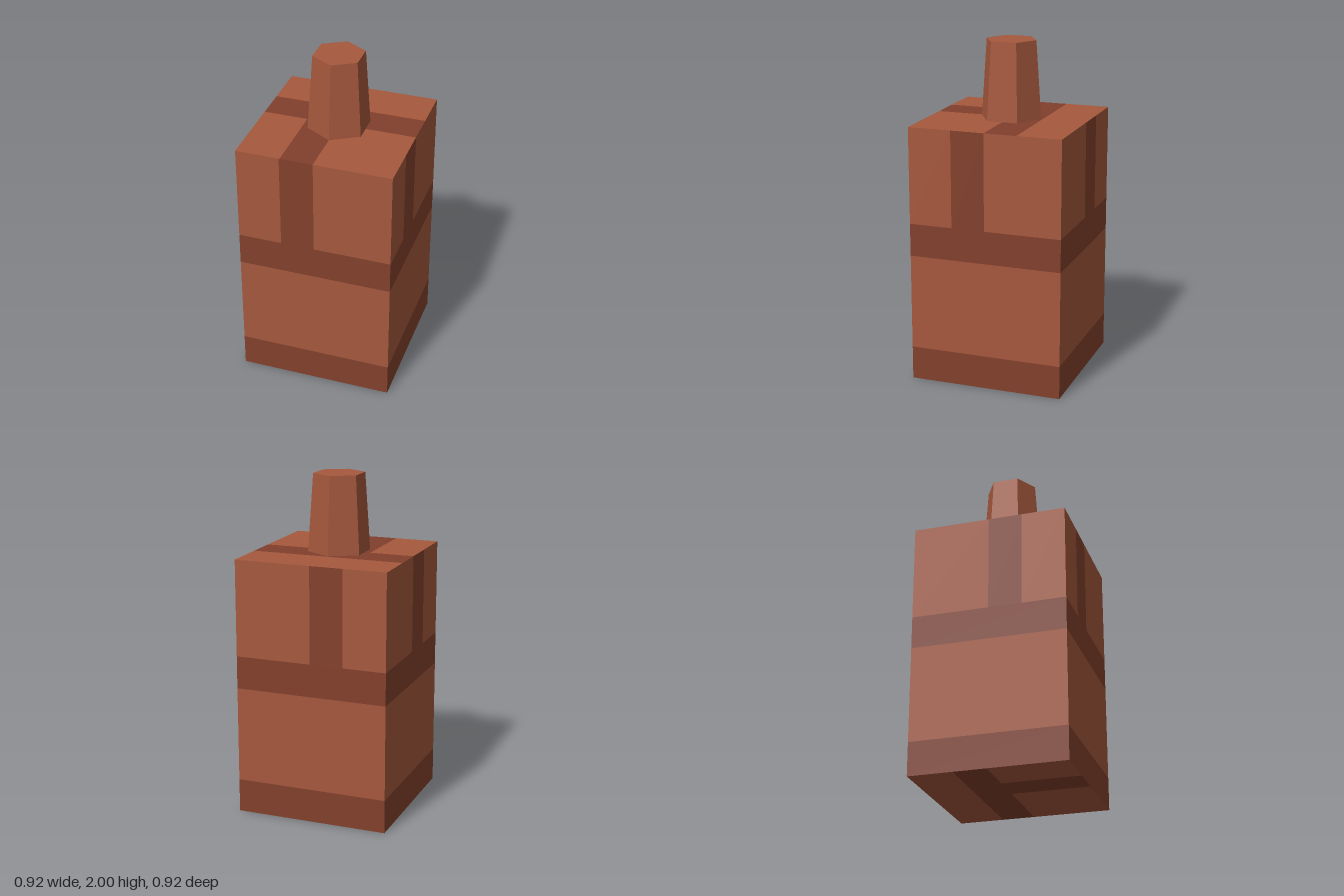
import * as THREE from 'three';
import { mergeGeometries } from 'three/addons/utils/BufferGeometryUtils.js';

const HALF = 0.46;   // half width of the square stack
const TOP = 1.54;    // height of the brick stack
const JOINT = 0.195; // width of the mortar joints

// Face tiles: [u0, u1, v0, v1]
const SIDE = {
  brick: [
    [-HALF, HALF, 0.2, 0.77],
    [-HALF, -0.2, 0.965, TOP],
    [0, HALF, 0.965, TOP],
  ],
  mortar: [
    [-HALF, HALF, 0, 0.2],
    [-HALF, HALF, 0.77, 0.965],
    [-0.2, 0, 0.965, TOP],
  ],
};
const CAP = {
  brick: [
    [-HALF, HALF, JOINT, HALF],
    [-HALF, -JOINT, -HALF, 0],
    [0, HALF, -HALF, 0],
  ],
  mortar: [
    [-HALF, HALF, 0, JOINT],
    [-JOINT, 0, -HALF, 0],
  ],
};

// Each face of the stack: pattern, rotation, offset, and mirroring of u and v
const Q = Math.PI / 2;
const FACES = [
  { pattern: SIDE, ry: 0, at: [0, 0, HALF], mu: 1, mv: 1 },
  { pattern: SIDE, ry: Q, at: [HALF, 0, 0], mu: 1, mv: 1 },
  { pattern: SIDE, ry: 2 * Q, at: [0, 0, -HALF], mu: -1, mv: 1 },
  { pattern: SIDE, ry: -Q, at: [-HALF, 0, 0], mu: -1, mv: 1 },
  { pattern: CAP, rx: -Q, at: [0, TOP, 0], mu: 1, mv: 1 },
  { pattern: CAP, rx: Q, at: [0, 0, 0], mu: 1, mv: -1 },
];

function tiles(kind) {
  const parts = [];
  for (const f of FACES) {
    for (const [u0, u1, v0, v1] of f.pattern[kind]) {
      const g = new THREE.PlaneGeometry(u1 - u0, v1 - v0);
      g.translate((f.mu * (u0 + u1)) / 2, (f.mv * (v0 + v1)) / 2, 0);
      g.rotateX(f.rx || 0);
      g.rotateY(f.ry || 0);
      g.translate(...f.at);
      parts.push(g);
    }
  }
  return mergeGeometries(parts);
}

export function createModel() {
  const brick = new THREE.MeshStandardMaterial({ color: 0xa6583d });
  brick.name = 'brick red';
  const mortar = new THREE.MeshStandardMaterial({ color: 0x83402c });
  mortar.name = 'dark mortar';

  const model = new THREE.Group();
  model.name = 'chimney';
  const add = (name, geometry, material) => {
    const mesh = new THREE.Mesh(geometry, material);
    mesh.name = name;
    model.add(mesh);
  };

  // Square stack, with bricks and joints as separate faces
  add('stackBricks', tiles('brick'), brick);
  add('stackMortar', tiles('mortar'), mortar);

  // Tapered six-sided pot with faceted sides
  const pot = new THREE.CylinderGeometry(0.153, 0.185, 2 - TOP, 6).toNonIndexed();
  pot.computeVertexNormals();
  pot.translate(0, (2 + TOP) / 2, 0);
  add('chimneyPot', pot, brick);

  return model;
}
